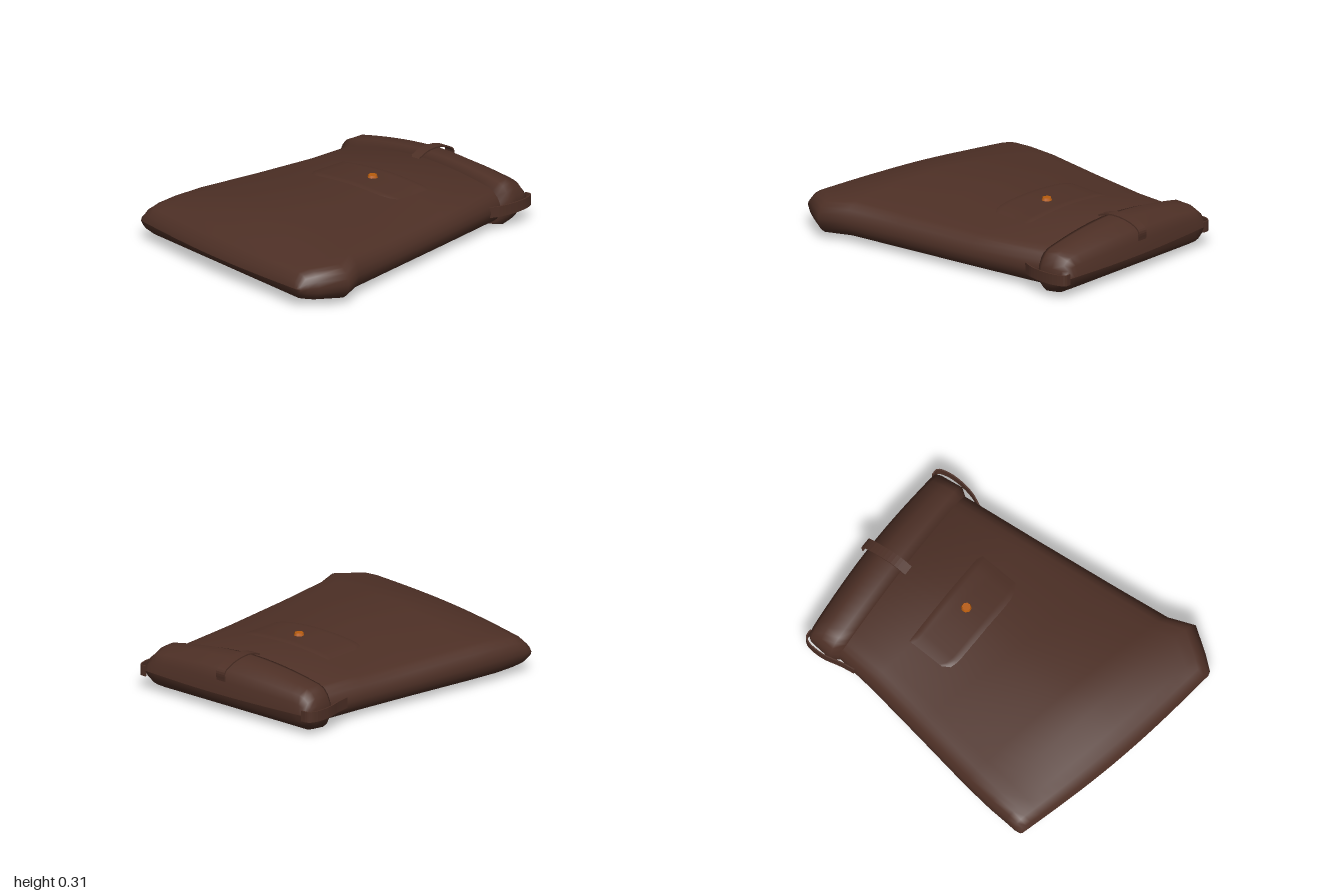
import * as THREE from 'three';

const leather = new THREE.MeshStandardMaterial({ color: 0x4e3026, side: THREE.DoubleSide });
leather.name = 'brown leather';
const brass = new THREE.MeshStandardMaterial({ color: 0xb85c0c });
brass.name = 'orange brass';

function meshFrom(points, index, name) {
  const geometry = new THREE.BufferGeometry();
  geometry.setAttribute('position', new THREE.Float32BufferAttribute(points, 3));
  geometry.setIndex(index);
  geometry.computeVertexNormals();
  const mesh = new THREE.Mesh(geometry, leather);
  mesh.name = name;
  return mesh;
}

// Quads between rows of equal length
function gridIndex(rows, cols, closed) {
  const index = [];
  for (let i = 0; i < rows - 1; i++) {
    for (let j = 0; j < (closed ? cols : cols - 1); j++) {
      const k = (j + 1) % cols;
      const a = i * cols + j, b = i * cols + k, c = a + cols, d = b + cols;
      index.push(a, b, c, b, d, c);
    }
  }
  return index;
}

// Cushion-shaped loft. Row: back x,z, front x,z, bottom, edge height, crown, bow in x
function cushion(rows, name) {
  const points = [];
  const arc = 8, across = 18, round = 0.08;
  for (const [ax, az, bx, bz, bottom, edge, crown, bow] of rows) {
    const inset = round / Math.hypot(bx - ax, bz - az);
    const mid = (bottom + edge) / 2, half = (edge - bottom) / 2;
    const add = (t, angle) => {
      const dome = crown * (1 - Math.abs(2 * t - 1) ** 1.8) * Math.max(0, Math.sin(angle));
      points.push(
        ax + (bx - ax) * t + bow * Math.sin(Math.PI * t),
        mid + half * Math.sin(angle) + dome,
        az + (bz - az) * t);
    };
    for (let i = 0; i <= arc; i++) {
      const angle = Math.PI * (i / arc - 0.5);
      add(inset * (1 - Math.cos(angle)), angle);
    }
    for (let i = 1; i < across; i++) add(inset + (1 - 2 * inset) * i / across, Math.PI / 2);
    for (let i = 0; i <= arc; i++) {
      const angle = Math.PI * (0.5 - i / arc);
      add(1 - inset * (1 - Math.cos(angle)), angle);
    }
  }
  const cols = points.length / 3 / rows.length;
  return meshFrom(points, gridIndex(rows.length, cols, true), name);
}

// Flat band of given width vector, with a little thickness, along a smooth path
function strap(path, width, thickness, name) {
  const curve = new THREE.CatmullRomCurve3(path.map(p => new THREE.Vector3(...p)));
  const side = new THREE.Vector3(...width);
  const points = [], steps = 20;
  for (let i = 0; i <= steps; i++) {
    const p = curve.getPoint(i / steps);
    const normal = curve.getTangent(i / steps).cross(side).normalize().multiplyScalar(thickness / 2);
    for (const [s, n] of [[-0.5, -1], [0.5, -1], [0.5, 1], [-0.5, 1]]) {
      points.push(...p.clone().addScaledVector(side, s).addScaledVector(normal, n).toArray());
    }
  }
  const mesh = meshFrom(points, gridIndex(steps + 1, 4, true), name);
  mesh.geometry = mesh.geometry.toNonIndexed();
  mesh.geometry.computeVertexNormals();
  return mesh;
}

// Thin flap draped over the body, rounded at its two free corners
function flap(body) {
  const ray = new THREE.Raycaster();
  const down = new THREE.Vector3(0, -1, 0);
  const points = [], n = 14;
  for (let i = 0; i <= n; i++) {
    for (let j = 0; j <= n; j++) {
      const u = i / n, v = j / n;
      const corner = 0.06 * Math.abs(2 * v - 1) ** 8 * (1 - u);
      const x = -0.07 + 0.2 * v + (0.29 + 0.01 * v) * u + corner;
      const z = -0.41 + 0.62 * v - 0.07 * u;
      ray.set(new THREE.Vector3(x, 1, z), down);
      const hit = ray.intersectObject(body)[0];
      const border = i === 0 || j === 0 || i === n || j === n;
      points.push(x, (hit ? hit.point.y : 0.27) + (border ? -0.002 : 0.006), z);
    }
  }
  return meshFrom(points, gridIndex(n + 1, n + 1, false), 'flap');
}

export function createModel() {
  const model = new THREE.Group();
  model.name = 'leather pouch';

  // Main pouch, flat beneath and domed above
  const body = cushion([
    [-1, -0.54, -0.8, 0.8, 0.115, 0.115, 0, -0.035],
    [-0.99, -0.555, -0.785, 0.82, 0.075, 0.155, 0, -0.035],
    [-0.955, -0.568, -0.745, 0.835, 0.045, 0.19, 0.01, -0.03],
    [-0.9, -0.58, -0.69, 0.855, 0.035, 0.205, 0.025, -0.02],
    [-0.78, -0.61, -0.53, 0.9, 0.03, 0.21, 0.06, -0.01],
    [-0.6, -0.645, -0.41, 0.8, 0.03, 0.21, 0.085, 0],
    [-0.2, -0.705, -0.1, 0.66, 0.028, 0.2, 0.083, 0],
    [0.15, -0.76, 0.35, 0.46, 0.025, 0.195, 0.08, 0],
    [0.52, -0.835, 0.85, 0.24, 0.025, 0.2, 0.08, 0],
    [0.52, -0.835, 0.85, 0.24, 0.11, 0.11, 0, 0],
  ], 'body');
  model.add(body);

  // Raised cap over the mouth
  model.add(cushion([
    [0.39, -0.78, 0.78, 0.25, 0.11, 0.11, 0, 0],
    [0.385, -0.8, 0.775, 0.27, 0.008, 0.205, 0.08, 0],
    [0.42, -0.85, 0.83, 0.285, 0, 0.225, 0.075, 0],
    [0.5, -0.87, 0.89, 0.255, 0.006, 0.225, 0.07, 0.02],
    [0.555, -0.885, 0.95, 0.228, 0.04, 0.205, 0.045, 0.03],
    [0.585, -0.875, 0.975, 0.212, 0.07, 0.17, 0.02, 0.03],
    [0.6, -0.86, 0.985, 0.2, 0.115, 0.115, 0, 0.03],
  ], 'cap'));

  // Closing straps: one over the top, one round each side
  model.add(strap([
    [0.55, 0.282, -0.255], [0.62, 0.304, -0.28], [0.71, 0.301, -0.315],
    [0.785, 0.278, -0.342], [0.82, 0.25, -0.352], [0.818, 0.2, -0.352],
  ], [0.02, 0, 0.057], 0.008, 'topStrap'));
  model.add(strap([
    [0.69, 0.115, 0.3], [0.77, 0.115, 0.308], [0.87, 0.115, 0.293],
    [0.95, 0.115, 0.262], [0.992, 0.115, 0.225], [0.983, 0.115, 0.19],
  ], [0, 0.06, 0], 0.008, 'frontStrap'));
  model.add(strap([
    [0.28, 0.115, -0.785], [0.35, 0.115, -0.82], [0.45, 0.115, -0.88],
    [0.55, 0.115, -0.905], [0.585, 0.115, -0.89], [0.6, 0.115, -0.855],
  ], [0, 0.06, 0], 0.008, 'backStrap'));

  // Flap with its stud
  model.add(flap(body));
  const stud = new THREE.Mesh(new THREE.CylinderGeometry(0.024, 0.03, 0.016, 8), brass);
  stud.name = 'stud';
  stud.position.set(0.2, 0.288, -0.11);
  model.add(stud);

  return model;
}
